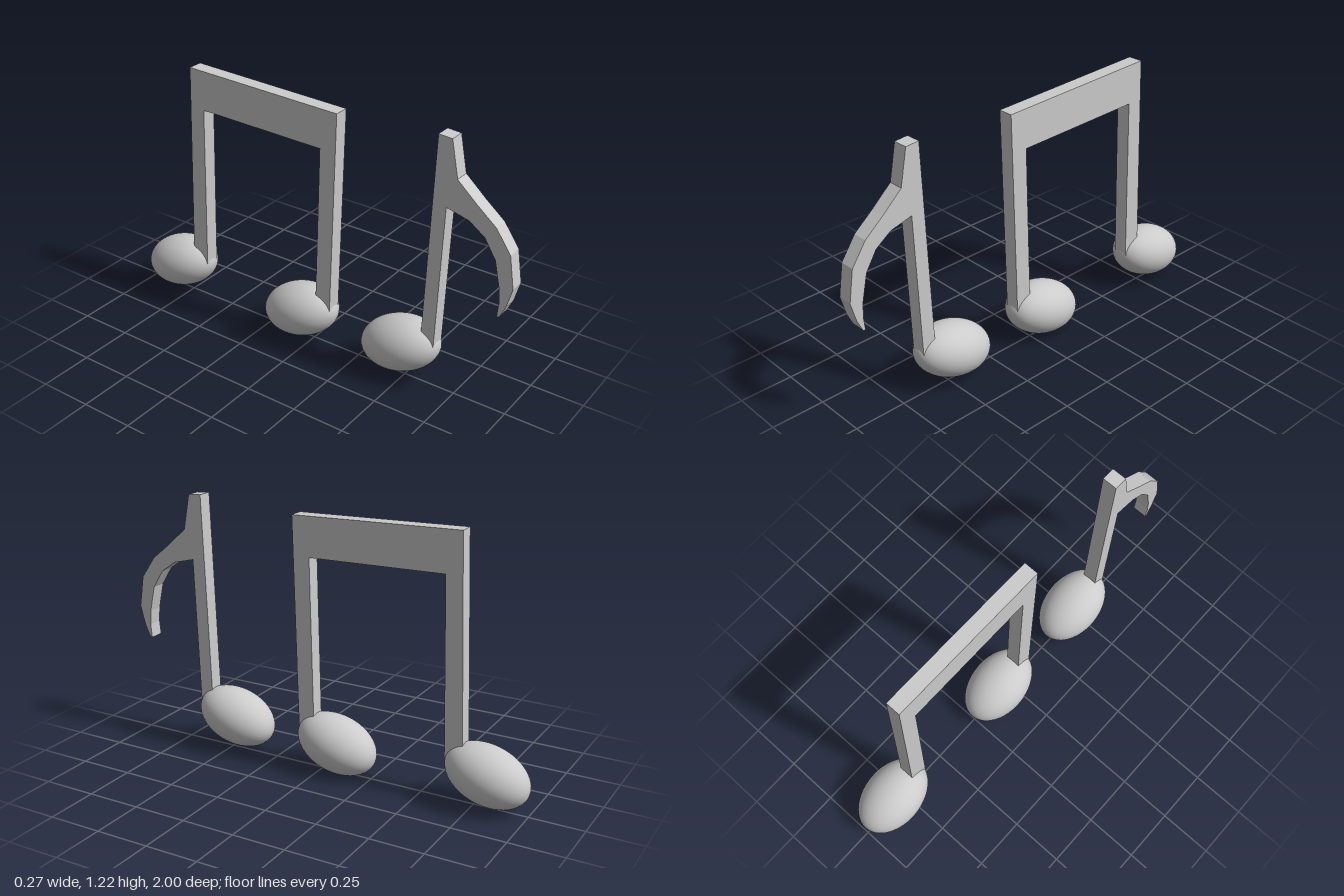
import * as THREE from 'three';

const THICKNESS = 0.07;
const material = new THREE.MeshStandardMaterial({ color: 0xcccccc });

// Flat bar cut from a side outline of [z, y] points, centred on x = 0
function makeBar(name, outline) {
  const shape = new THREE.Shape(outline.map(([z, y]) => new THREE.Vector2(z, y)));
  const geometry = new THREE.ExtrudeGeometry(shape, { depth: THICKNESS, bevelEnabled: false });
  geometry.translate(0, 0, -THICKNESS / 2).rotateY(-Math.PI / 2);
  const mesh = new THREE.Mesh(geometry, material);
  mesh.name = name;
  return mesh;
}

// Tilted egg-shaped note head, raised towards the front
function makeHead(name, z, y) {
  const geometry = new THREE.SphereGeometry(1, 48, 32);
  geometry.scale(0.135, 0.129, 0.198).rotateX(-0.31);
  const mesh = new THREE.Mesh(geometry, material);
  mesh.name = name;
  mesh.position.set(0, y, z);
  return mesh;
}

export function createModel() {
  const model = new THREE.Group();
  model.name = 'musicNotes';

  // Single note: stem with a curved flag
  const single = new THREE.Group();
  single.name = 'singleNote';
  single.add(
    makeBar('stemWithFlag', [
      [0.623, 1.222], [0.687, 1.217], [0.72, 1.05], [0.815, 0.965], [0.906, 0.89],
      [0.976, 0.789], [1, 0.64], [0.976, 0.548], [0.95, 0.492], [0.938, 0.488],
      [0.944, 0.553], [0.939, 0.623], [0.912, 0.746], [0.858, 0.832], [0.783, 0.885],
      [0.677, 0.912], [0.654, 0.21], [0.588, 0.2],
    ]),
    makeHead('singleHead', 0.472, 0.162),
  );

  // Pair of notes: two stems joined by a slanted beam
  const pair = new THREE.Group();
  pair.name = 'beamedNotes';
  pair.add(
    makeBar('stemsWithBeam', [
      [0.138, 1.185], [-0.666, 1.211], [-0.705, 0.2], [-0.62, 0.2],
      [-0.596, 1.019], [0.052, 1.003], [0.029, 0.2], [0.108, 0.2],
    ]),
    makeHead('frontHead', -0.073, 0.137),
    makeHead('backHead', -0.807, 0.152),
  );

  model.add(single, pair);
  return model;
}
